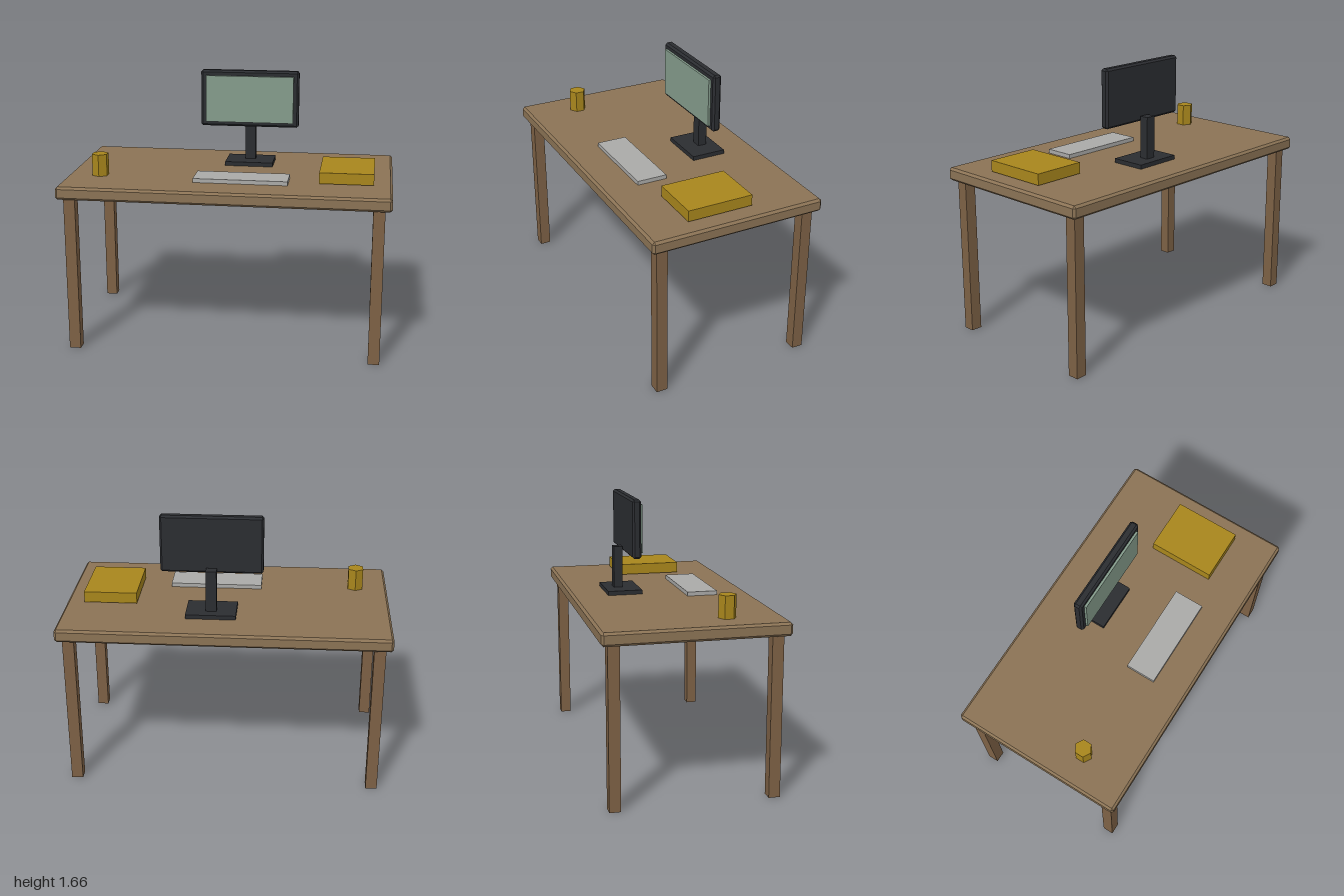
import * as THREE from 'three';
import { ConvexGeometry } from 'three/addons/geometries/ConvexGeometry.js';

const paint = (color) => new THREE.MeshStandardMaterial({ color, flatShading: true });

// Box with every edge cut by a flat chamfer c
function chamferedBox(w, h, d, c) {
  const points = [];
  for (const x of [-1, 1]) for (const y of [-1, 1]) for (const z of [-1, 1]) {
    for (const full of [0, 1, 2]) {
      const half = [w / 2, h / 2, d / 2].map((s, i) => (i === full ? s : s - c));
      points.push(new THREE.Vector3(x * half[0], y * half[1], z * half[2]));
    }
  }
  return new ConvexGeometry(points);
}

export function createModel() {
  const model = new THREE.Group();
  const wood = paint(0x8b7355);
  const legWood = paint(0x7d6145);
  const dark = paint(0x2b2d31);
  const glass = paint(0x859c8c);
  const gold = paint(0xa8861c);
  const grey = paint(0xaaaaa8);

  // Places a box between its lower and upper limits on each axis
  function block(name, material, [x0, x1], [y0, y1], [z0, z1], chamfer = 0, parent = model) {
    const size = [x1 - x0, y1 - y0, z1 - z0];
    const geometry = chamfer ? chamferedBox(...size, chamfer) : new THREE.BoxGeometry(...size);
    const mesh = new THREE.Mesh(geometry, material);
    mesh.name = name;
    mesh.position.set((x0 + x1) / 2, (y0 + y1) / 2, (z0 + z1) / 2);
    parent.add(mesh);
  }

  // Table
  block('tableTop', wood, [-1, 1], [0.97, 1.05], [-0.544, 0.544], 0.014);
  for (const [sx, side] of [[1, 'Left'], [-1, 'Right']]) {
    for (const [sz, end] of [[1, 'front'], [-1, 'back']]) {
      const x = sx * 0.925, z = sz * 0.47;
      block(`${end}${side}Leg`, legWood, [x - 0.035, x + 0.035], [0, 0.975], [z - 0.034, z + 0.034]);
    }
  }

  // Monitor on its stand
  const monitor = new THREE.Group();
  monitor.name = 'monitor';
  model.add(monitor);
  block('monitorBase', dark, [-0.065, 0.24], [1.048, 1.076], [-0.327, -0.112], 0, monitor);
  block('monitorNeck', dark, [0.055, 0.12], [1.07, 1.335], [-0.267, -0.212], 0, monitor);
  block('monitorCase', dark, [-0.224, 0.399], [1.3, 1.658], [-0.204, -0.15], 0.012, monitor);
  block('monitorScreen', glass, [-0.19, 0.365], [1.33, 1.625], [-0.17, -0.136], 0, monitor);

  // Things on the desk
  block('keyboard', grey, [-0.2, 0.375], [1.052, 1.077], [0.145, 0.333]);
  block('book', gold, [0.56, 0.888], [1.056, 1.124], [-0.137, 0.272]);

  // Six-sided pen cup
  const cup = new THREE.Mesh(new THREE.CylinderGeometry(0.053, 0.053, 0.137, 6), gold);
  cup.name = 'penCup';
  cup.position.set(-0.798, 1.117, 0.217);
  model.add(cup);

  return model;
}
